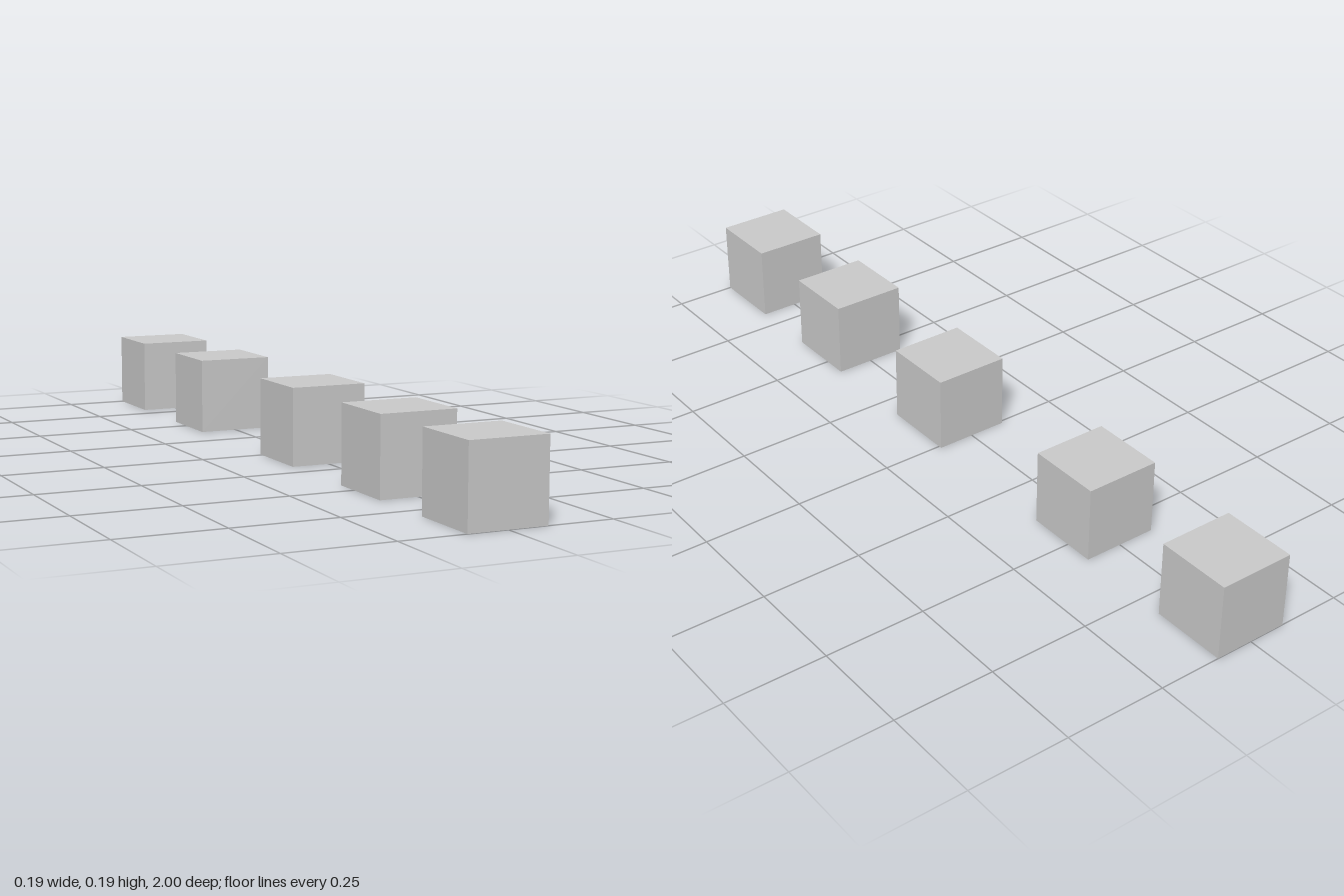
import * as THREE from 'three';

const SIZE = 0.188;

// Cube centres along z, from front to back
const CENTRES = [0.906, 0.531, 0.086, -0.478, -0.906];

export function createModel() {
  const model = new THREE.Group();
  model.name = 'cubeRow';

  const geometry = new THREE.BoxGeometry(SIZE, SIZE, SIZE);
  const material = new THREE.MeshStandardMaterial({ color: 0xcccccc, flatShading: true });

  // Equal cubes standing on the ground in an unevenly spaced row
  CENTRES.forEach((z, i) => {
    const cube = new THREE.Mesh(geometry, material);
    cube.name = `cube${i + 1}`;
    cube.position.set(0, SIZE / 2, z);
    model.add(cube);
  });

  return model;
}
